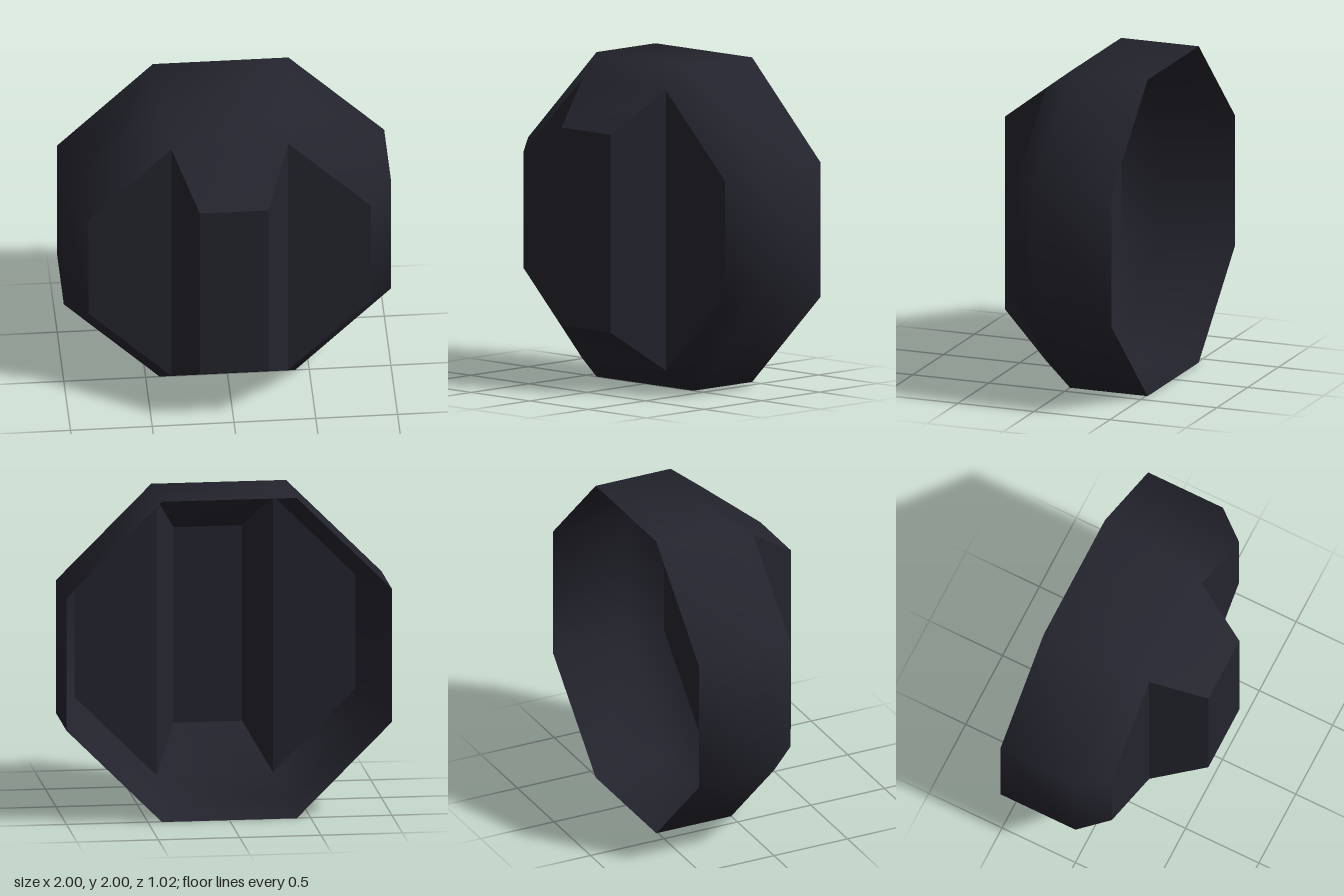
import * as THREE from 'three';

// Octagon corners, anticlockwise from the front, centred on y = 1
const octagon = (apothem, z) => Array.from({ length: 8 }, (_, k) => {
  const a = Math.PI / 8 + k * Math.PI / 4, r = apothem / Math.cos(Math.PI / 8);
  return [r * Math.cos(a), 1 + r * Math.sin(a), z];
});

function surface(points, index) {
  const g = new THREE.BufferGeometry();
  g.setAttribute('position', new THREE.Float32BufferAttribute(points.flat(), 3));
  g.setIndex(index);
  g.computeVertexNormals();
  return g;
}

// Flat convex polygon, anticlockwise from its front
function polygon(points) {
  const index = [];
  for (let i = 1; i < points.length - 1; i++) index.push(0, i, i + 1);
  return surface(points, index);
}

export function createModel() {
  const group = new THREE.Group();
  const darkNavy = new THREE.MeshStandardMaterial({ color: 0x24242e, side: THREE.DoubleSide });
  darkNavy.name = 'darkNavy';
  const add = (name, geometry) => {
    const mesh = new THREE.Mesh(geometry, darkNavy);
    mesh.name = name;
    group.add(mesh);
  };

  const back = octagon(1, -0.51), shoulder = octagon(1, 0), face = octagon(0.863, 0.18);
  // Ends of the raised rib: top right, top left, bottom left, bottom right
  const tip = [[0.21, 1.61, 0.51], [-0.21, 1.61, 0.51], [-0.21, 0.39, 0.51], [0.21, 0.39, 0.51]];

  // Smooth open-backed wall and bevel, with the bevel running up both rib ends
  const index = [];
  const quad = (a, b, c, d) => index.push(a, b, c, a, c, d);
  for (let ring = 0; ring < 2; ring++) {
    for (let k = 0; k < 8; k++) {
      const n = (k + 1) % 8, o = ring * 8;
      quad(o + k, o + n, o + 8 + n, o + 8 + k);
    }
  }
  quad(17, 18, 25, 24);
  quad(21, 22, 27, 26);
  add('octagonalShell', surface([...back, ...shoulder, ...face, ...tip], index));

  // Flat plates either side of the rib
  add('leftFacePlate', polygon([face[6], face[7], face[0], face[1]]));
  add('rightFacePlate', polygon([face[2], face[3], face[4], face[5]]));

  // Raised central rib
  add('ribLeftSide', polygon([face[6], face[1], tip[0], tip[3]]));
  add('ribRightSide', polygon([face[2], face[5], tip[2], tip[1]]));
  add('ribFront', polygon([tip[3], tip[0], tip[1], tip[2]]));

  return group;
}
